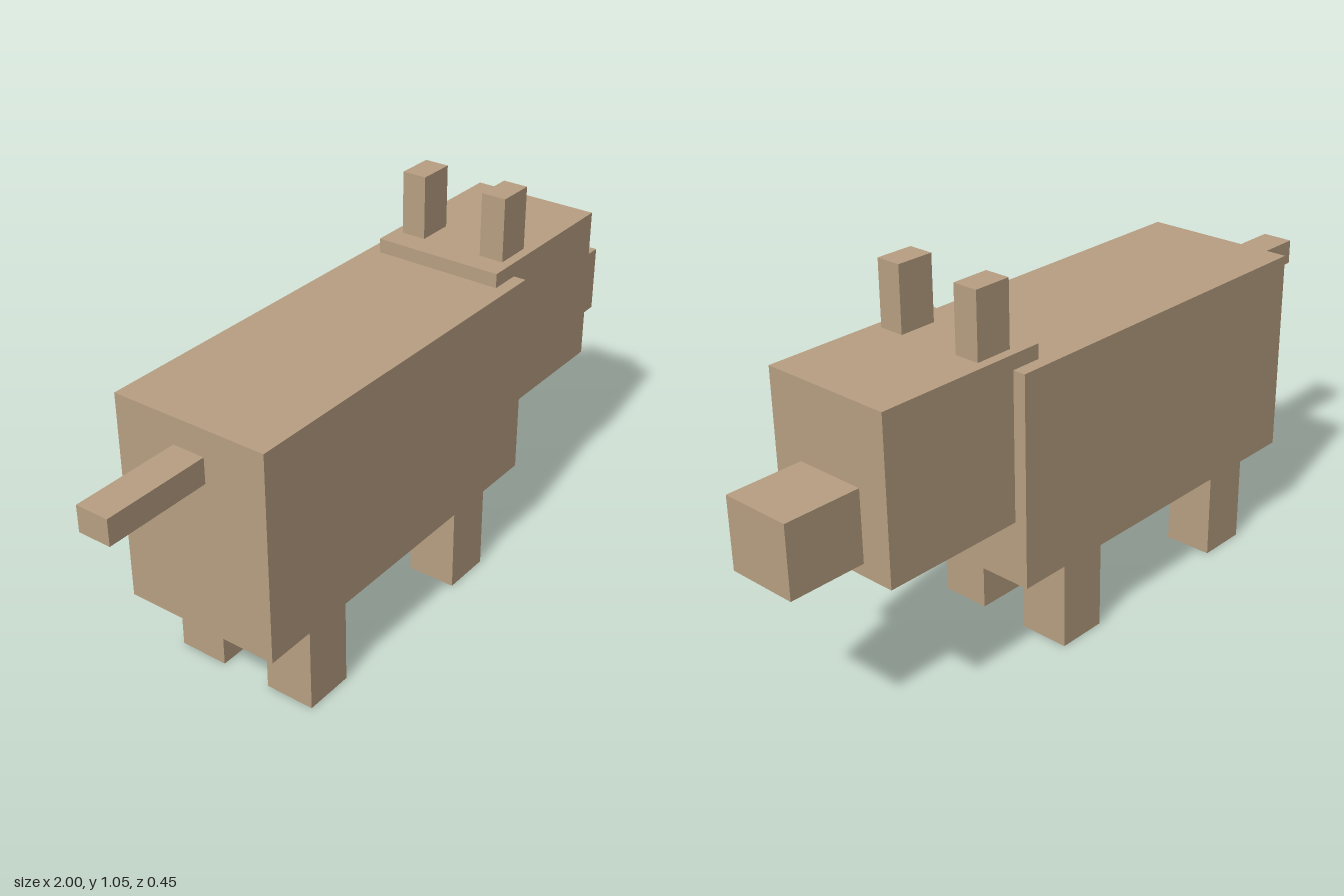
import * as THREE from 'three';

export function createModel() {
  const model = new THREE.Group();
  model.name = 'blockAnimal';
  const hide = new THREE.MeshStandardMaterial({ color: 0xb89f82 });

  // Box spanning the given [min, max] ranges
  function block(name, [x0, x1], [y0, y1], [z0, z1]) {
    const mesh = new THREE.Mesh(new THREE.BoxGeometry(x1 - x0, y1 - y0, z1 - z0), hide);
    mesh.position.set((x0 + x1) / 2, (y0 + y1) / 2, (z0 + z1) / 2);
    mesh.name = name;
    model.add(mesh);
  }

  // Trunk, head, snout and tail lie along the x axis
  block('body', [-0.697, 0.375], [0.25, 0.83], [-0.224, 0.224]);
  block('head', [0.287, 0.786], [0.425, 0.87], [-0.188, 0.188]);
  block('snout', [0.786, 1], [0.46, 0.655], [-0.099, 0.099]);
  block('tail', [-1, -0.697], [0.684, 0.755], [-0.046, 0.046]);

  // Paired ears and legs, mirrored across z
  for (const side of [1, -1]) {
    const span = (a, b) => (side > 0 ? [a, b] : [-b, -a]);
    block('ear', [0.357, 0.464], [0.87, 1.048], span(0.09, 0.161));
    block('frontLeg', [0.081, 0.224], [0, 0.25], span(0.073, 0.215));
    block('backLeg', [-0.546, -0.403], [0, 0.25], span(0.073, 0.215));
  }

  return model;
}
